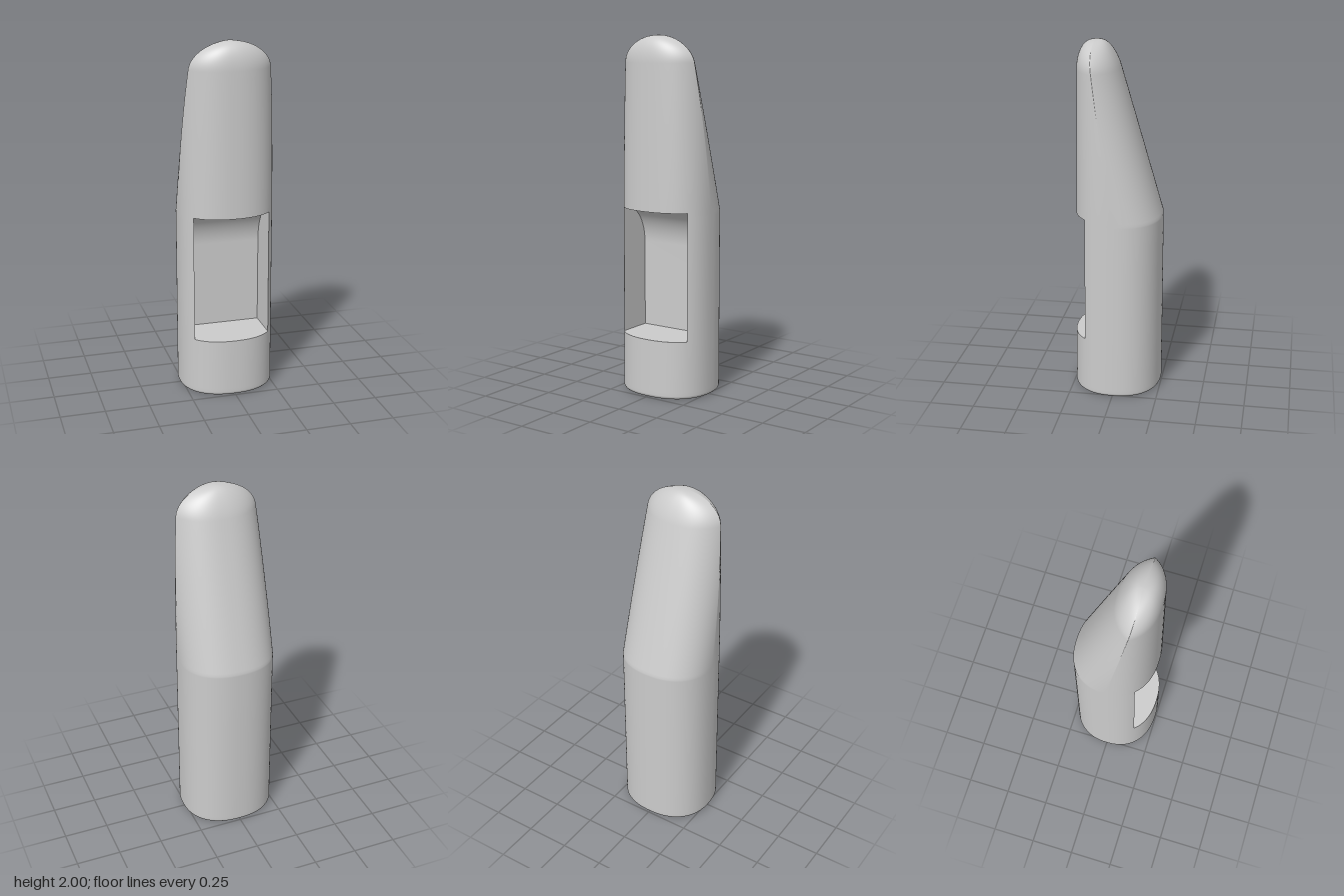
import * as THREE from 'three';

const W = 0.268, D = 0.247, N = 2.3;           // body half width, half depth, roundness
const P = { x: 0.215, y0: 0.33, y1: 1.045, z: -0.04, arcY: 0.82, arcZ: 0.14 }; // pocket
const SLOPE_Y = 1.03, DOME_Y = 1.85;

const depthAt = x => D * Math.pow(Math.max(0, 1 - Math.pow(Math.abs(x) / W, N)), 1 / N);
const taper = y => 1 - 0.042 * y;              // the front leans back slightly
const frontZ = (x, y) => depthAt(x) * taper(y);

// Ring angles: side, pocket span, side, then the back
const pocketAngle = Math.acos(Math.pow(P.x / W, N / 2));
const angles = [];
function addSpan(a, b, n) {
  for (let i = 0; i < n; i++) angles.push(a + (b - a) * i / n);
}
addSpan(0, pocketAngle, 12);
const pocketStart = angles.length;
addSpan(pocketAngle, Math.PI - pocketAngle, 28);
const pocketEnd = angles.length;
addSpan(Math.PI - pocketAngle, Math.PI, 12);
addSpan(Math.PI, 2 * Math.PI, 52);

// One horizontal cross-section of the body
function section(y) {
  const back = -D + 0.293 * Math.max(0, y - SLOPE_Y);
  const meet = (back + D) / (1 + taper(y));
  const half = W * Math.pow(1 - Math.pow(meet / D, N), 1 / N);
  const t = Math.min(1, Math.max(0, (y - SLOPE_Y) / (DOME_Y - SLOPE_Y)));
  const narrow = 1 - 0.055 * t * t;
  const s = y > DOME_Y ? Math.sqrt(Math.max(0.0004, 1 - ((y - DOME_Y) / (2 - DOME_Y)) ** 2)) : 1;
  const inset = y < 0.02 ? 0.02 - Math.sqrt(0.0004 - (0.02 - y) ** 2) : 0;
  const sx = s * narrow * (1 - inset / W), sz = Math.pow(s, 0.65);
  return angles.map(a => {
    const c = Math.cos(a);
    const x = Math.sign(c) * half * Math.pow(Math.abs(c), 2 / N);
    const onBack = a > Math.PI;
    let z = onBack ? back + D - depthAt(x) : frontZ(x, y);
    z *= 1 - inset / D;
    if (s < 1) z = 0.12 + (z - 0.12) * sz;
    return new THREE.Vector3(x * sx, y, z);
  });
}

function geometry(points, index) {
  const g = new THREE.BufferGeometry().setFromPoints(points);
  g.setIndex(index);
  g.computeVertexNormals();
  return g;
}

// Surface between two rows of points
function strip(a, b) {
  const index = [], n = a.length;
  for (let i = 0; i < n - 1; i++) index.push(i, i + 1, n + i, i + 1, n + i + 1, n + i);
  return geometry([...a, ...b], index);
}

function bodyGeometry() {
  const ys = [0, 0.003, 0.008, 0.014, 0.02, 0.04, P.y0, 0.6, 0.9, 1.02, SLOPE_Y, P.y1];
  for (let i = 1; i <= 20; i++) ys.push(P.y1 + (DOME_Y - P.y1) * i / 20);
  for (let i = 1; i <= 20; i++) ys.push(DOME_Y + (2 - DOME_Y) * Math.sin(i / 20 * Math.PI / 2));
  const n = angles.length, points = ys.flatMap(section), index = [];
  for (let r = 0; r < ys.length - 1; r++) {
    const open = ys[r] >= P.y0 && ys[r] < P.y1;
    for (let j = 0; j < n; j++) {
      if (open && j >= pocketStart && j < pocketEnd) continue;
      const a = r * n + j, b = r * n + (j + 1) % n;
      index.push(a, a + n, b, b, a + n, b + n);
    }
  }
  // Close the crown
  const top = (ys.length - 1) * n;
  points.push(new THREE.Vector3(0, 2, 0.12));
  for (let j = 0; j < n; j++) index.push(points.length - 1, top + (j + 1) % n, top + j);
  return geometry(points, index);
}

export function createModel() {
  const group = new THREE.Group();
  const grey = new THREE.MeshStandardMaterial({ color: 0xcccccc });
  const greyDouble = new THREE.MeshStandardMaterial({ color: 0xcccccc, side: THREE.DoubleSide });
  const add = (parent, name, geo, mat) => {
    const m = new THREE.Mesh(geo, mat);
    m.name = name;
    parent.add(m);
  };

  add(group, 'body', bodyGeometry(), grey);

  // Flat underside
  const base = section(0);
  base.push(base[0].clone());
  add(group, 'underside', strip(base, base.map(() => new THREE.Vector3())), greyDouble);

  // Recessed pocket: the back wall curves forward into the ceiling
  const pocket = new THREE.Group();
  pocket.name = 'pocket';
  group.add(pocket);
  const profile = [[P.z, P.y0], [P.z, 0.6]];
  for (let i = 0; i <= 16; i++) {
    const a = i / 16 * Math.PI / 2;
    profile.push([P.arcZ - (P.arcZ - P.z) * Math.cos(a), P.arcY + (P.y1 - P.arcY) * Math.sin(a)]);
  }
  const wall = x => profile.map(([z, y]) => new THREE.Vector3(x, y, z));
  const rim = x => profile.map(([, y]) => new THREE.Vector3(x, y, frontZ(x, y)));
  add(pocket, 'pocketBack', strip(wall(-P.x), wall(P.x)), greyDouble);
  add(pocket, 'pocketLeftWall', strip(wall(P.x), rim(P.x)), greyDouble);
  add(pocket, 'pocketRightWall', strip(rim(-P.x), wall(-P.x)), greyDouble);
  for (const [name, y, z] of [['pocketFloor', P.y0, P.z], ['pocketCeiling', P.y1, P.arcZ]]) {
    const edge = section(y).slice(pocketStart, pocketEnd + 1);
    add(pocket, name, strip(edge, edge.map(p => new THREE.Vector3(p.x, y, z))), greyDouble);
  }
  return group;
}
